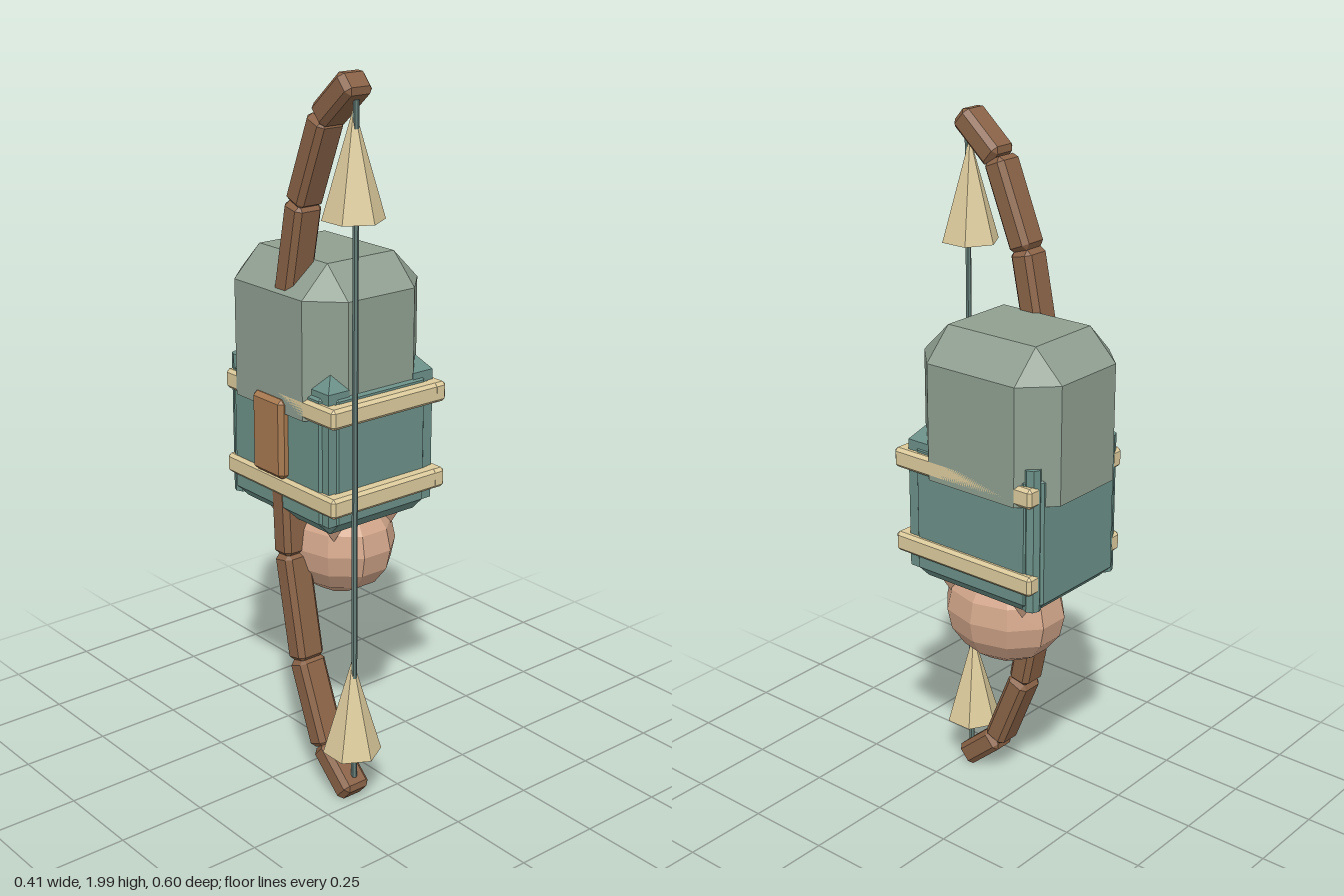
import * as THREE from 'three';
import { ConvexGeometry } from 'three/addons/geometries/ConvexGeometry.js';

const mat = (color) => new THREE.MeshStandardMaterial({ color, flatShading: true });

// Box with all edges cut by c; the bottom rim is left sharp when cutBottom is false
function chamferBox(w, h, d, c, cutBottom = true) {
  const pts = [];
  const x = w / 2, y = h / 2, z = d / 2;
  for (const sx of [-1, 1]) for (const sy of [-1, 1]) for (const sz of [-1, 1]) {
    const add = (a, b, e) => pts.push(new THREE.Vector3(sx * a, sy * b, sz * e));
    const yEdge = sy < 0 && !cutBottom ? y : y - c;
    add(x, yEdge, z - c);
    add(x - c, yEdge, z);
    if (yEdge < y) add(x - c, y, z - c);
  }
  return new ConvexGeometry(pts);
}

export function createModel() {
  const model = new THREE.Group();
  const teal = mat(0x6b9088), sage = mat(0x8f9f90), cream = mat(0xdccb9c);
  const tan = mat(0xd2a68a), brown = mat(0x8a6347), gripBrown = mat(0xa87a50), cord = mat(0x667f79);

  const add = (name, geometry, material, x, y, z, parent = model) => {
    const mesh = new THREE.Mesh(geometry, material);
    mesh.name = name;
    mesh.position.set(x, y, z);
    parent.add(mesh);
    return mesh;
  };

  // Pack body and its tall chamfered lid
  add('packBody', chamferBox(0.37, 0.42, 0.44, 0.038), teal, 0.005, 0.975, -0.055);
  add('packLid', chamferBox(0.395, 0.41, 0.46, 0.085, false), sage, 0.0075, 1.285, -0.072);

  // Corner posts: pointed at the front, plain and round at the back
  for (const s of [-1, 1]) {
    const x = 0.007 + s * 0.145;
    add('frontPost', new THREE.BoxGeometry(0.07, 0.37, 0.07), teal, x, 0.985, 0.125);
    const tip = new THREE.ConeGeometry(0.0495, 0.04, 4);
    tip.rotateY(Math.PI / 4);
    add('frontPostTip', tip, teal, x, 1.19, 0.125);
    add('backPost', new THREE.CylinderGeometry(0.025, 0.025, 0.4, 8), teal, 0.005 + s * 0.158, 0.985, -0.245);
  }

  // Two straps around the front and sides, open at the back
  for (const y of [1.113, 0.866]) {
    const strap = new THREE.Group();
    strap.name = 'strap';
    model.add(strap);
    add('strapFront', chamferBox(0.395, 0.056, 0.045, 0.009), cream, 0.0075, y, 0.177, strap);
    for (const s of [-1, 1])
      add('strapSide', chamferBox(0.045, 0.056, 0.47, 0.009), cream, 0.0075 + s * 0.175, y, -0.035, strap);
  }

  // Ball under the pack, held by four small claws
  const ball = new THREE.SphereGeometry(1, 10, 8);
  ball.scale(0.15, 0.155, 0.182);
  add('ball', ball, tan, 0.012, 0.668, -0.03);
  for (const sx of [-1, 1]) for (const sz of [-1, 1]) {
    const claw = new THREE.ConeGeometry(0.05, 0.07, 4);
    claw.rotateX(Math.PI);
    add('claw', claw, tan, 0.01 + sx * 0.1, 0.747, -0.045 + sz * 0.125);
  }

  // Bow: straight chamfered pieces along a bent line of [z, y], mirrored about y = 1
  const bow = new THREE.Group();
  bow.name = 'bow';
  bow.position.x = -0.138;
  model.add(bow);
  const line = [[0.228, 1.977], [0.112, 1.875], [0.018, 1.645], [-0.043, 1.345], [-0.06, 1.0]];
  for (const s of [-1, 1]) {
    for (let i = 0; i < line.length - 1; i++) {
      const a = new THREE.Vector3(0, 1 + s * (line[i][1] - 1), line[i][0]);
      const b = new THREE.Vector3(0, 1 + s * (line[i + 1][1] - 1), line[i + 1][0]);
      const piece = add('bowPiece', chamferBox(0.086, a.distanceTo(b) + 0.004, 0.07, 0.014), brown, 0, 0, 0, bow);
      piece.position.copy(a).add(b).multiplyScalar(0.5);
      piece.quaternion.setFromUnitVectors(new THREE.Vector3(0, 1, 0), b.sub(a).normalize());
    }
  }
  add('grip', chamferBox(0.09, 0.225, 0.13, 0.012), gripBrown, -0.022, 1.005, -0.067, bow);

  // Bowstring with a six-sided cone near each end, both pointing up
  add('bowstring', new THREE.CylinderGeometry(0.008, 0.008, 1.86, 6), cord, 0, 1, 0.225, bow);
  for (const y of [1.775, 0.29])
    add('stringCone', new THREE.ConeGeometry(0.081, 0.28, 6), cream, 0, y, 0.217, bow);

  return model;
}
